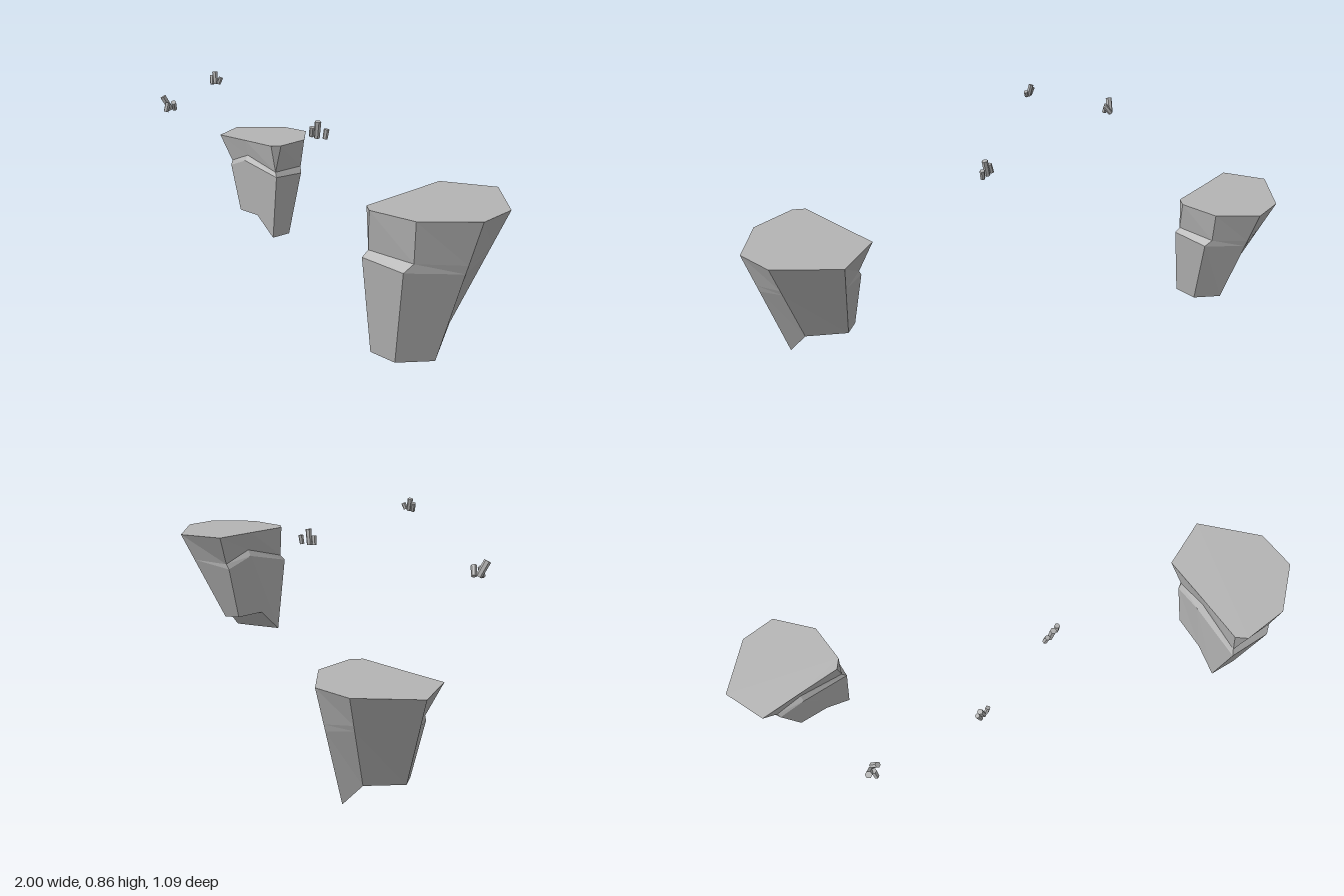
import * as THREE from 'three';

const stone = new THREE.MeshStandardMaterial({ color: 0xb4b4b4, flatShading: true });
stone.name = 'stoneGrey';

// One column per corner: top [x,z], ledge upper and lower [x,y,z] (null = plain edge), bottom [x,y,z]
const TOP_Y = 0.59;
const COLUMNS = [
  { top: [0.69, 0.55], up: [0.67, 0.457, 0.53], low: [0.66, 0.435, 0.547], bot: [0.665, 0.115, 0.51] },
  { top: [0.86, 0.537], up: [0.845, 0.455, 0.525], low: [0.825, 0.427, 0.548], bot: [0.77, 0.115, 0.515] },
  { top: [1.0, 0.405], bot: [0.85, 0.115, 0.42] },
  { top: [0.988, 0.255], bot: [0.835, 0.21, 0.335] },
  { top: [0.813, 0.078], bot: [0.715, 0.21, 0.24] },
  { top: [0.636, 0.155], up: [0.665, 0.462, 0.21], low: [0.653, 0.44, 0.215], bot: [0.66, 0.212, 0.272] },
  { top: [0.645, 0.336], up: [0.663, 0.51, 0.333], low: [0.645, 0.485, 0.333], bot: [0.657, 0.212, 0.404] },
  { top: [0.652, 0.52], up: [0.67, 0.457, 0.53], low: [0.66, 0.435, 0.547], bot: [0.665, 0.115, 0.51] },
];

function rockGeometry() {
  const cols = COLUMNS.map(({ top, up, low, bot }) => {
    const t = new THREE.Vector3(top[0], TOP_Y, top[1]);
    const b = new THREE.Vector3(...bot);
    const ledge = (p, f) => (p ? new THREE.Vector3(...p) : t.clone().lerp(b, f));
    return [t, ledge(up, 0.3), ledge(low, 0.36), b];
  });
  const pos = [];
  const tri = (...pts) => {
    const area = new THREE.Triangle(...pts).getArea();
    if (area > 1e-7) pts.forEach((p) => pos.push(p.x, p.y, p.z));
  };
  const n = cols.length;
  // side walls with the notch
  for (let i = 0; i < n; i++) {
    const a = cols[i], b = cols[(i + 1) % n];
    for (let r = 0; r < 3; r++) {
      tri(a[r], a[r + 1], b[r + 1]);
      tri(a[r], b[r + 1], b[r]);
    }
  }
  // flat top
  for (let i = 1; i < n - 1; i++) tri(cols[0][0], cols[i][0], cols[i + 1][0]);
  // stepped underside
  const u = cols.map((c) => c[3]);
  [[0, 2, 1], [0, 6, 2], [2, 6, 3], [3, 6, 5], [3, 5, 4]].forEach((f) => tri(...f.map((k) => u[k])));

  const g = new THREE.BufferGeometry();
  g.setAttribute('position', new THREE.Float32BufferAttribute(pos, 3));
  g.computeVertexNormals();
  return g;
}

// Small faceted column between two points
function shard(from, to, radius) {
  const a = new THREE.Vector3(...from), b = new THREE.Vector3(...to);
  const dir = b.clone().sub(a);
  const m = new THREE.Mesh(new THREE.CylinderGeometry(radius, radius * 0.9, dir.length(), 6), stone);
  m.position.copy(a).add(b).multiplyScalar(0.5);
  m.quaternion.setFromUnitVectors(new THREE.Vector3(0, 1, 0), dir.normalize());
  m.name = 'shard';
  return m;
}

const CLUSTERS = [
  { name: 'leftShardCluster', r: 0.012, shards: [
    [[0.08, 0.642, 0.163], [0.09, 0.704, 0.166]],
    [[0.056, 0.645, 0.166], [0.064, 0.68, 0.17]],
    [[0.113, 0.643, 0.154], [0.118, 0.678, 0.151]]] },
  { name: 'rightShardCluster', r: 0.013, shards: [
    [[-0.7, 0.641, 0.222], [-0.716, 0.695, 0.246]],
    [[-0.695, 0.636, 0.25], [-0.695, 0.672, 0.238]],
    [[-0.69, 0.643, 0.21], [-0.672, 0.675, 0.228]]] },
  { name: 'middleShardCluster', r: 0.01, shards: [
    [[-0.295, 0.809, 0.313], [-0.306, 0.853, 0.308]],
    [[-0.31, 0.807, 0.318], [-0.319, 0.838, 0.311]],
    [[-0.283, 0.812, 0.31], [-0.274, 0.834, 0.306]]] },
];

export function createModel() {
  const model = new THREE.Group();
  model.name = 'floatingRocks';

  // large rock
  const geometry = rockGeometry();
  const large = new THREE.Mesh(geometry, stone);
  large.name = 'largeRock';
  model.add(large);

  // smaller copy, a quarter turn round
  const s = 0.893;
  const small = new THREE.Mesh(geometry, stone);
  small.name = 'smallRock';
  small.scale.setScalar(s);
  small.rotation.y = Math.PI / 2;
  small.position.set(-1 - s * 0.078, -s * 0.115, -0.378 + s * 0.813);
  model.add(small);

  // hovering shards
  for (const { name, r, shards } of CLUSTERS) {
    const cluster = new THREE.Group();
    cluster.name = name;
    shards.forEach(([a, b], i) => cluster.add(shard(a, b, i ? r * 0.85 : r)));
    model.add(cluster);
  }
  return model;
}
